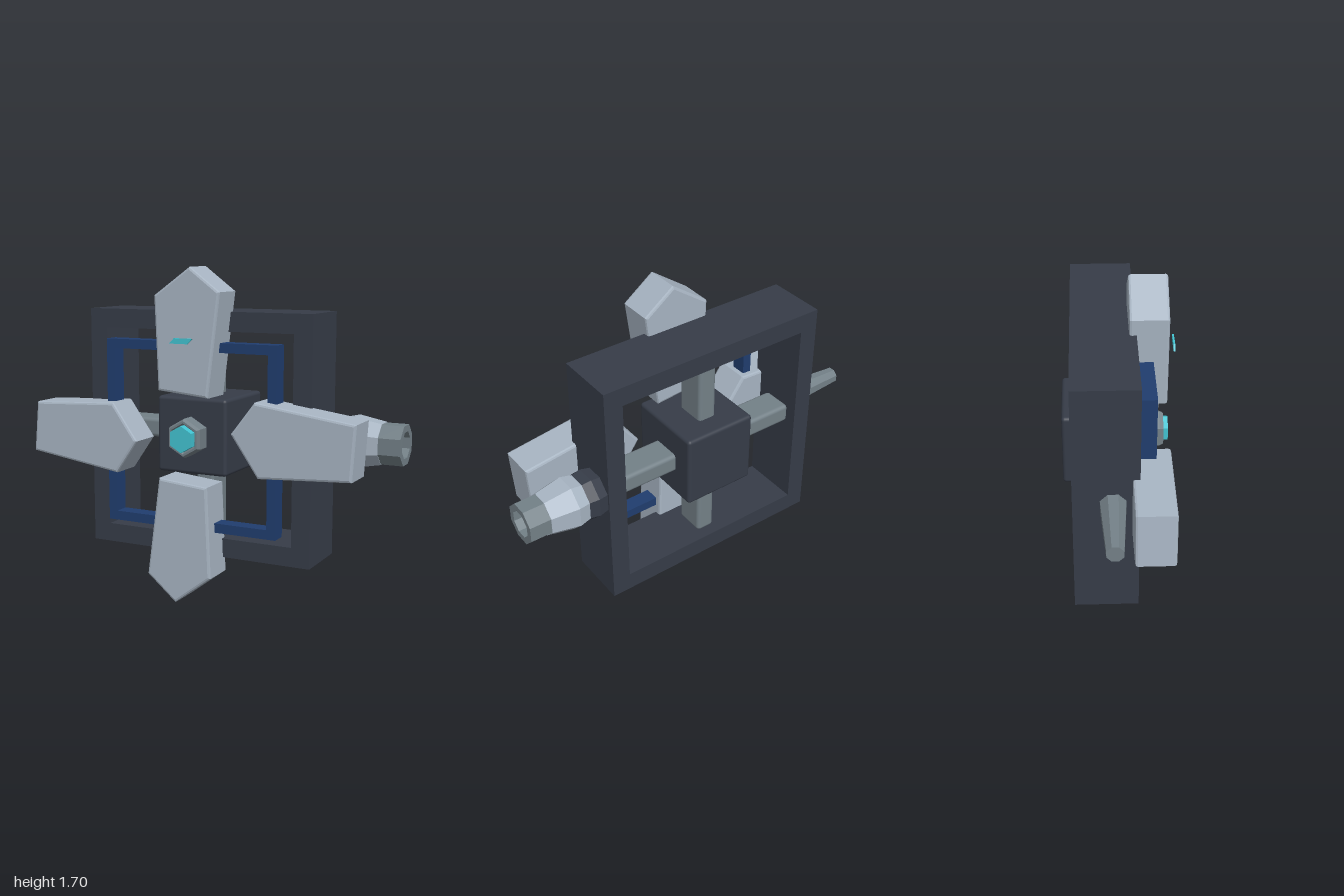
import * as THREE from 'three';
import { RoundedBoxGeometry } from 'three/addons/geometries/RoundedBoxGeometry.js';

const CX = -0.035, CY = 0.855; // centre of the frames and the hub

function mat(name, color) {
  const m = new THREE.MeshStandardMaterial({ color });
  m.name = name;
  return m;
}

export function createModel() {
  const model = new THREE.Group();
  const charcoal = mat('charcoal', 0x363c48);
  const navy = mat('navy', 0x203d6e);
  const paleSteel = mat('paleSteel', 0xa7b4c2);
  const steel = mat('steel', 0x738087);
  const cyan = mat('cyan', 0x42c3d1);

  function add(name, geometry, material, x = 0, y = 0, z = 0) {
    const mesh = new THREE.Mesh(geometry, material);
    mesh.name = name;
    mesh.position.set(x, y, z);
    model.add(mesh);
    return mesh;
  }

  const polygon = pts => pts.map(([x, y]) => new THREE.Vector2(x, y));
  const square = h => polygon([[-h, -h], [h, -h], [h, h], [-h, h]]);

  // Square ring between two half-widths
  function squareRing(outer, inner, depth) {
    const shape = new THREE.Shape(square(outer));
    shape.holes.push(new THREE.Path(square(inner).reverse()));
    return new THREE.ExtrudeGeometry(shape, { depth, bevelEnabled: false });
  }

  // Faceted turned part: profile of [radius, height] along y
  function faceted(profile, sides, start = 0) {
    const g = new THREE.LatheGeometry(polygon(profile), sides, start).toNonIndexed();
    g.computeVertexNormals();
    return g;
  }

  // Frames
  add('outerFrame', squareRing(0.625, 0.527, 0.315), charcoal, CX, CY, -0.23);
  add('innerFrame', squareRing(0.477, 0.429, 0.082), navy, CX, CY, 0.085);

  // Hub and the crossing struts
  add('hub', new RoundedBoxGeometry(0.39, 0.39, 0.42, 3, 0.018), charcoal, CX, CY, -0.07);
  add('verticalStrut', new RoundedBoxGeometry(0.1, 1.07, 0.165, 3, 0.02), steel, CX, CY, -0.087);
  add('horizontalStrut', new RoundedBoxGeometry(1.07, 0.1, 0.165, 3, 0.02), steel, CX, CY, -0.087);

  // Hexagonal lamp on the hub
  const bezel = faceted([[0.1, 0.13], [0.1, 0.21], [0.09, 0.23], [0.078, 0.23], [0.068, 0.215]], 6);
  add('lampBezel', bezel.rotateX(Math.PI / 2), steel, CX, CY);
  const lamp = faceted([[0.068, 0.14], [0.068, 0.254], [0, 0.254]], 6);
  add('lamp', lamp.rotateX(Math.PI / 2), cyan, CX, CY);

  // Four irregular armour plates
  const plates = {
    topPlate: [[-0.17, 1.09], [0.105, 1.065], [0.17, 1.58], [0.008, 1.7], [-0.19, 1.56]],
    bottomPlate: [[-0.17, 0.645], [-0.24, 0.135], [-0.08, 0.003], [0.12, 0.155], [0.1, 0.62]],
    rightPlate: [[-0.91, 0.988], [-0.935, 0.722], [-0.42, 0.648], [-0.3, 0.82], [-0.437, 1.01]],
    leftPlate: [[0.355, 1.062], [0.23, 0.9], [0.375, 0.692], [0.85, 0.72], [0.868, 0.992]],
  };
  const bevel = 0.012;
  for (const [name, pts] of Object.entries(plates)) {
    const g = new THREE.ExtrudeGeometry(new THREE.Shape(polygon(pts)), {
      depth: 0.19 - 2 * bevel, bevelEnabled: true, bevelThickness: bevel,
      bevelSize: bevel, bevelOffset: -bevel, bevelSegments: 2,
    });
    add(name, g, paleSteel, 0, 0, 0.05 + bevel);
  }

  // Slanted marker floating before the top plate
  const marker = new THREE.Shape(polygon([[-0.083, 1.33], [0.017, 1.33], [0.045, 1.357], [-0.055, 1.357]]));
  add('marker', new THREE.ExtrudeGeometry(marker, { depth: 0.009, bevelEnabled: false }), cyan, 0, 0, 0.27);

  // Tapered spike on the -x side
  const spike = faceted([[0, 0], [0.068, 0], [0.043, 0.36], [0, 0.36]], 8, Math.PI / 8);
  add('spike', spike.rotateZ(Math.PI / 2), steel, -0.64, CY, -0.04);

  // Octagonal nozzle on the +x side (profile radii are flat-to-centre)
  const nozzle = [
    ['nozzleCollar', charcoal, [[0.108, 0.58], [0.12, 0.64], [0.112, 0.69]]],
    ['nozzleBody', paleSteel, [[0.112, 0.69], [0.125, 0.75], [0.1, 0.89], [0, 0.89]]],
    ['nozzleTip', steel, [[0.097, 0.885], [0.097, 1], [0.064, 1], [0.064, 0.885]]],
  ];
  for (const [name, material, profile] of nozzle) {
    const corners = profile.map(([r, h]) => [r / Math.cos(Math.PI / 8), h]);
    add(name, faceted(corners, 8, Math.PI / 8).rotateZ(-Math.PI / 2), material, 0, CY, -0.11);
  }

  return model;
}
